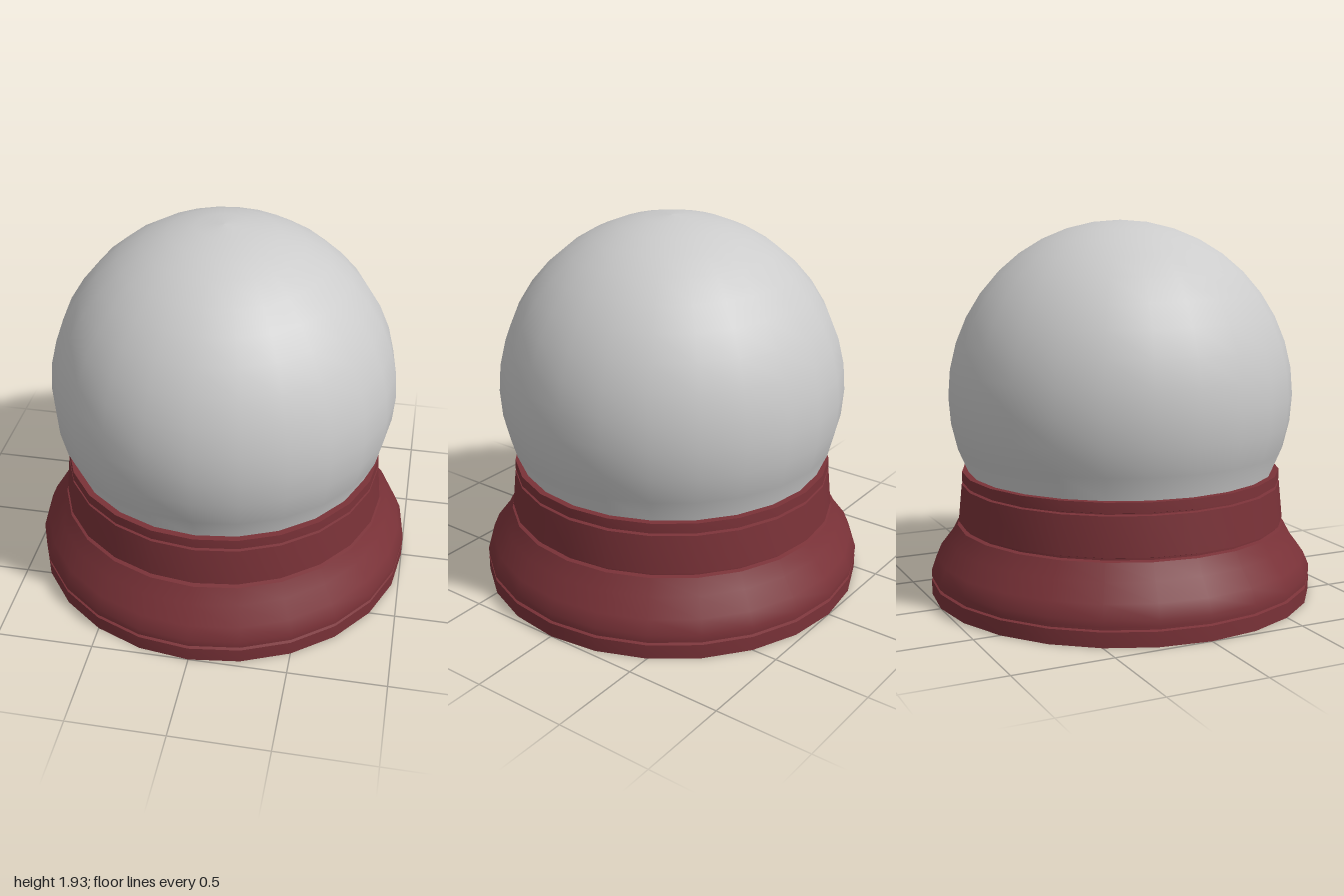
import * as THREE from 'three';
import { toCreasedNormals } from 'three/addons/utils/BufferGeometryUtils.js';

const SIDES = 24;
const RADIUS = 0.895, CENTER_Y = 1.04, RIM_Y = 0.645;

const lathe = (points) =>
  new THREE.LatheGeometry(points.map(([r, y]) => new THREE.Vector2(r, y)), SIDES);

export function createModel() {
  const group = new THREE.Group();

  const add = (name, geometry, color) => {
    const material = new THREE.MeshStandardMaterial({ color, side: THREE.DoubleSide });
    const mesh = new THREE.Mesh(geometry, material);
    mesh.name = name;
    group.add(mesh);
  };

  // Turned base: foot, groove, rounded shoulder, tapered collar and rim
  const baseProfile = [
    [0, 0], [1, 0], [1, 0.075],
    [0.985, 0.08], [0.985, 0.09],
    [1, 0.095], [1, 0.13], [0.97, 0.2], [0.905, 0.285], [0.862, 0.365],
    [0.84, 0.37], [0.84, 0.38],
    [0.855, 0.385], [0.836, 0.58],
    [0.818, 0.584], [0.818, 0.59],
    [0.835, 0.595], [0.833, RIM_Y], [0.79, RIM_Y],
  ];
  add('base', toCreasedNormals(lathe(baseProfile), 0.6), 0x7a3238);

  // Glass dome: rings every 9 degrees, with a small flange seated in the rim
  const domeProfile = [[0.82, RIM_Y - 0.004], [0.8, RIM_Y]];
  for (let deg = -18; deg <= 90; deg += 9) {
    const a = THREE.MathUtils.degToRad(deg);
    domeProfile.push([Math.max(0, RADIUS * Math.cos(a)), CENTER_Y + RADIUS * Math.sin(a)]);
  }
  add('glassDome', lathe(domeProfile), 0xcccccc);

  return group;
}
